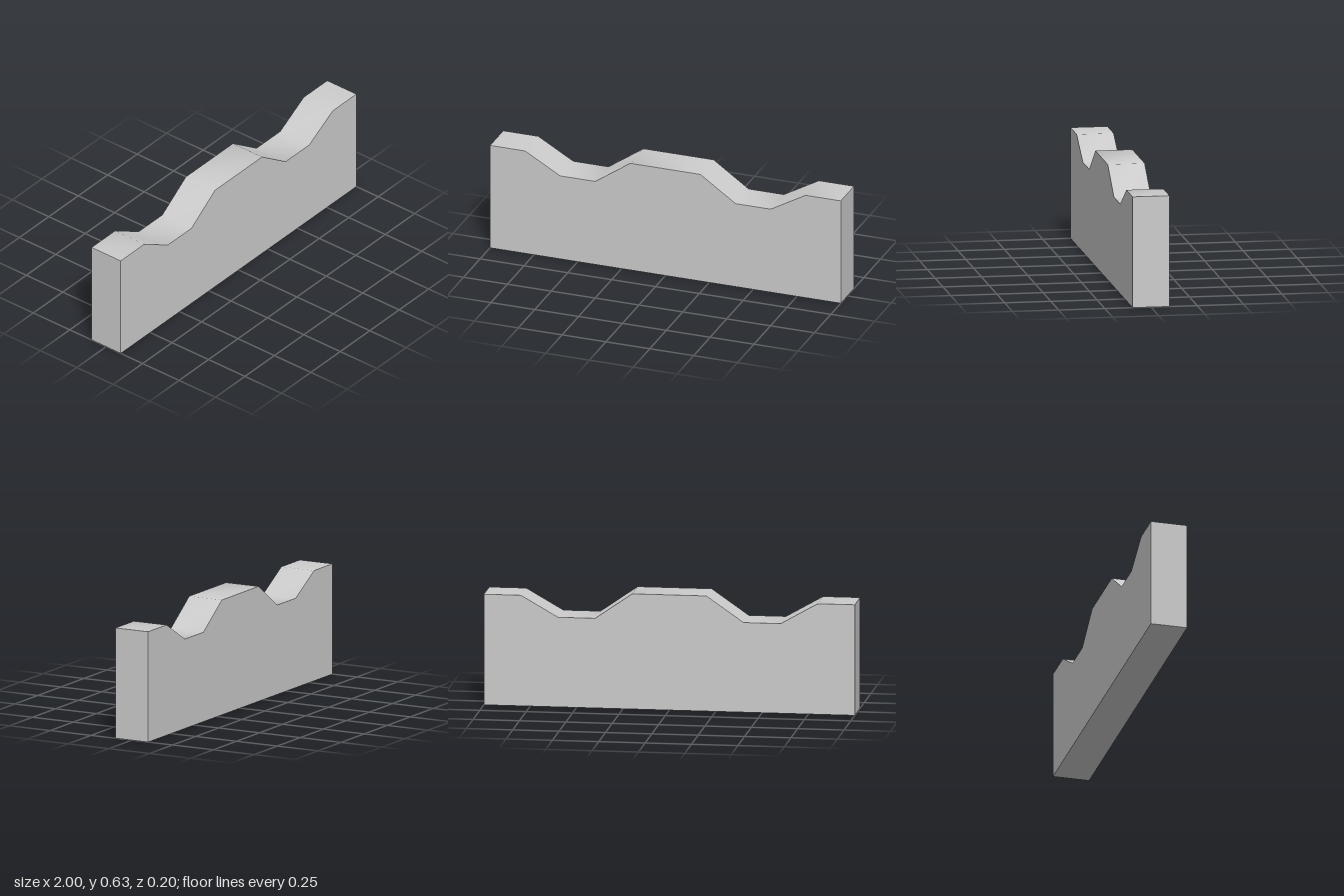
import * as THREE from 'three';
import { toCreasedNormals } from 'three/addons/utils/BufferGeometryUtils.js';

const DEPTH = 0.2;

// Right half of the wavy top edge, from the middle outwards
const HALF_TOP = [[0.2, 0.627], [0.4, 0.488], [0.6, 0.488], [0.8, 0.602], [1, 0.602]];

export function createModel() {
  const model = new THREE.Group();
  model.name = 'wavyWall';

  // Mirrored outline, counter-clockwise from the bottom left
  const mirrored = HALF_TOP.map(([x, y]) => [-x, y]);
  const outline = [[-1, 0], [1, 0], ...[...HALF_TOP].reverse(), ...mirrored];
  const shape = new THREE.Shape(outline.map(([x, y]) => new THREE.Vector2(x, y)));

  // Solid slab: the top is shaded smoothly, the square corners stay sharp
  const slab = new THREE.ExtrudeGeometry(shape, { depth: DEPTH, bevelEnabled: false });
  slab.translate(0, 0, -DEPTH / 2);
  const wall = new THREE.Mesh(
    toCreasedNormals(slab, Math.PI / 3),
    new THREE.MeshStandardMaterial({ color: 0xcccccc })
  );
  wall.name = 'wall';
  model.add(wall);

  return model;
}
